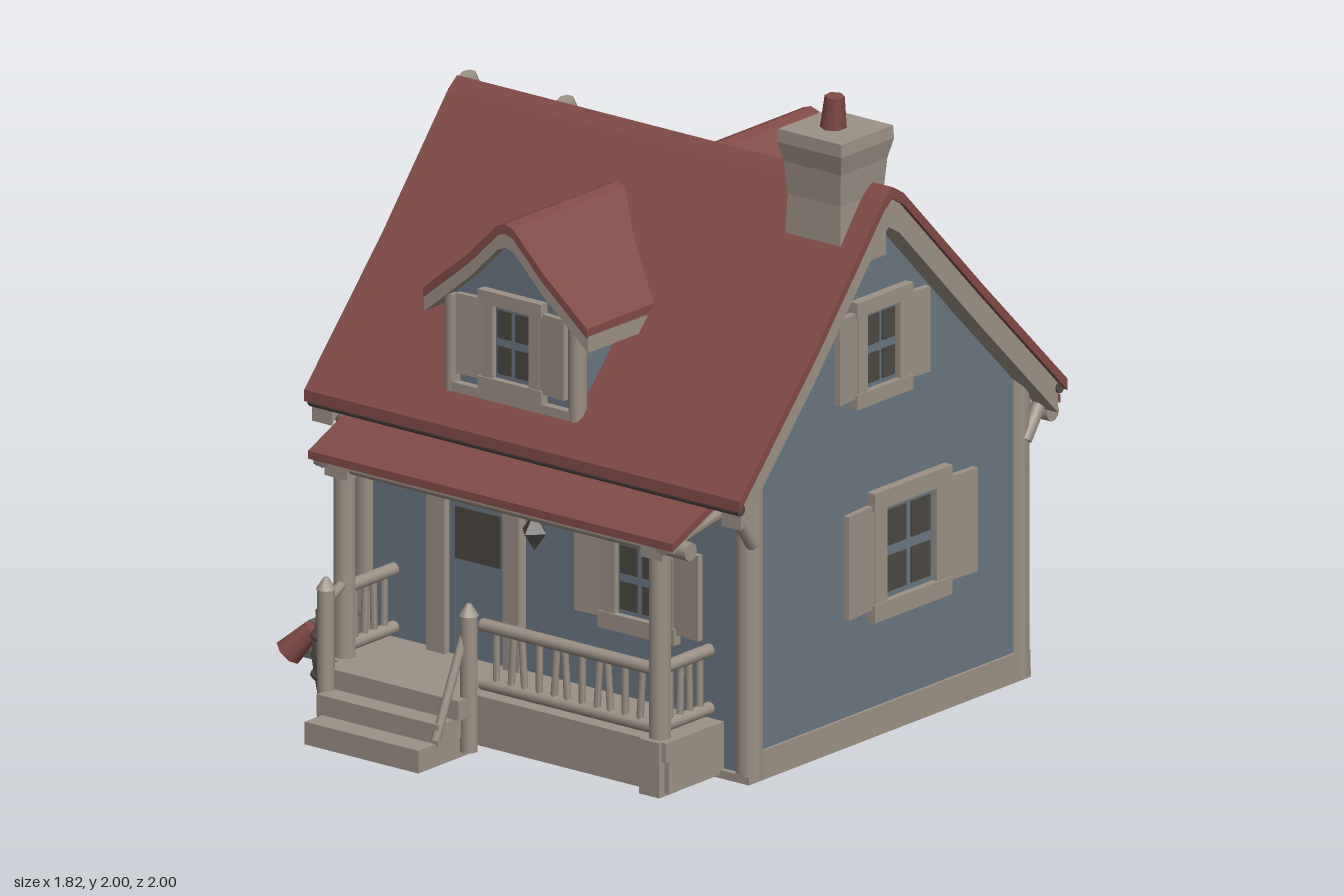
import * as THREE from 'three';

const mat = (name, color) => Object.assign(new THREE.MeshStandardMaterial({ color }), { name });

export function createModel() {
  const root = new THREE.Group();
  root.name = 'cottage';
  const red = mat('roof red', 0x814b46);
  const tan = mat('trim tan', 0x9c9185);
  const blue = mat('wall blue', 0x6a7682);
  const dark = mat('dark glass', 0x4c4742);
  const wood = mat('firewood', 0x6b635a);

  const add = (geo, m, name, parent = root) => {
    const mesh = new THREE.Mesh(geo, m);
    mesh.name = name;
    parent.add(mesh);
    return mesh;
  };
  // box given by its min and max on each axis
  const box = (x0, x1, y0, y1, z0, z1, m, name, parent) => {
    const g = new THREE.BoxGeometry(x1 - x0, y1 - y0, z1 - z0);
    g.translate((x0 + x1) / 2, (y0 + y1) / 2, (z0 + z1) / 2);
    return add(g, m, name, parent);
  };
  // round bar between two points
  const rod = (a, b, r, m, name, r2 = r, sides = 10) => {
    const p = new THREE.Vector3(...a), q = new THREE.Vector3(...b);
    const mesh = add(new THREE.CylinderGeometry(r2, r, p.distanceTo(q), sides), m, name);
    mesh.position.copy(p).add(q).multiplyScalar(0.5);
    mesh.quaternion.setFromUnitVectors(new THREE.Vector3(0, 1, 0), q.sub(p).normalize());
    return mesh;
  };
  const prism = (pts, depth) => new THREE.ExtrudeGeometry(
    new THREE.Shape(pts.map(p => new THREE.Vector2(...p))), { depth, bevelEnabled: false });
  // (z, y) outline pulled along x, and (x, y) outline pulled along z
  const alongX = (pts, x0, x1, m, name) =>
    add(prism(pts, x1 - x0).rotateY(-Math.PI / 2).translate(x1, 0, 0), m, name);
  const alongZ = (pts, z0, z1, m, name) =>
    add(prism(pts, z1 - z0).translate(0, 0, z0), m, name);
  // band of given height hanging below a top line
  const band = (pts, t) => [...pts, ...pts.map(([u, v]) => [u, v - t]).reverse()];
  const lower = (pts, t) => pts.map(([u, v]) => [u, v - t]);

  // Main roof: red covering, thin deck and thick gable boards
  const roofLine = [[0.66, 0.95], [0.3, 1.34], [-0.01, 1.71], [-0.05, 1.74], [-0.1, 1.71], [-0.46, 1.34], [-0.86, 0.94]];
  const inset = [[0.635, 0.977], ...roofLine.slice(1, -1), [-0.835, 0.965]];
  alongX(band(roofLine, 0.035), -0.74, 0.91, red, 'roofCover');
  alongX(band(lower(inset, 0.03), 0.04), -0.72, 0.89, tan, 'roofDeck');
  for (const x of [-0.73, 0.82]) alongX(band(lower(inset, 0.032), 0.095), x, x + 0.075, tan, 'gableBoard');
  for (const z of [0.64, -0.84]) rod([-0.73, 0.915, z], [0.9, 0.915, z], 0.018, dark, 'gutter');
  for (const x of [-0.72, -0.35]) rod([x, 1.7, -0.085], [x, 1.742, -0.075], 0.035, tan, 'ridgePatch', 0.025, 7);

  // Walls with gable ends, reaching into the roof
  alongX([[0.5, 0.03], [0.5, 1.06], ...lower(roofLine.slice(1, -1), 0.055), [-0.78, 0.96], [-0.78, 0.03]],
    -0.66, 0.82, blue, 'walls');
  box(-0.67, 0.83, 0.02, 0.045, -0.79, 0.52, tan, 'floorSlab');
  for (const x of [-0.645, 0.8]) {
    for (const z of [0.48, -0.755]) rod([x, 0.03, z], [x, 1.0, z], 0.042, tan, 'cornerPost');
    box(x - 0.03, x + 0.03, 0.03, 0.11, -0.78, 0.5, tan, 'sideSill');
  }
  box(-0.66, 0.82, 0.03, 0.1, -0.8, -0.74, tan, 'backSill');

  // Porch roof and matching back awning
  for (const [near, far] of [[0.5, 0.8], [-0.76, -1]]) {
    const s = Math.sign(far);
    const line = [[near, 0.955], [far, 0.825]];
    alongX(band(line, 0.025), -0.61, 0.77, red, 'awningCover');
    alongX(band(lower([[near, 0.955], [far - s * 0.015, 0.832]], 0.024), 0.02), -0.6, 0.76, tan, 'awningDeck');
    rod([-0.62, 0.79, far - s * 0.06], [0.79, 0.79, far - s * 0.06], 0.028, tan, 'awningBeam');
    for (const x of [-0.57, 0.72]) rod([x, 0.85, near], [x, 0.8, far - s * 0.01], 0.024, tan, 'awningRafter');
    for (const x of [-0.67, 0.83]) rod([x, 0.76, near], [x, 0.9, near + s * 0.1], 0.022, tan, 'eaveBrace');
  }

  // Window facing +z: frame w x h, total width over shutters, placed and turned
  const makeWindow = (x, y, z, turn, w, h, total) => {
    const g = new THREE.Group();
    g.name = 'window';
    const a = w / 2, b = h / 2, t = Math.min(0.055, w * 0.19);
    for (const s of [-1, 1]) {
      box(Math.min(s * a, s * (a - t)), Math.max(s * a, s * (a - t)), -b, b, -0.02, 0.025, tan, 'frameSide', g);
      box(-a - 0.01, a + 0.01, s * (b - t / 2) - t / 2, s * (b - t / 2) + t / 2, -0.02, 0.03, tan, 'frameBar', g);
      const sw = total / 2 - a, sh = add(new THREE.BoxGeometry(sw, h * 0.8, 0.02), tan, 'shutter', g);
      sh.position.set(s * (a + sw / 2), 0, 0.015);
      sh.rotation.y = -s * 0.08;
    }
    box(-a + t, a - t, -b + t, b - t, -0.01, 0.008, blue, 'sash', g);
    const pw = (w - 2 * t) / 2, ph = (h - 2 * t) / 2;
    for (const i of [-0.5, 0.5]) for (const j of [-0.5, 0.5]) {
      const cx = i * pw * 0.98, cy = j * ph * 0.98;
      box(cx - pw * 0.38, cx + pw * 0.38, cy - ph * 0.38, cy + ph * 0.38, 0.006, 0.013, dark, 'pane', g);
    }
    g.position.set(x, y, z);
    g.rotation.y = turn;
    root.add(g);
  };
  for (const [x, turn] of [[0.82, Math.PI / 2], [-0.66, -Math.PI / 2]]) {
    makeWindow(x, 0.58, -0.22, turn, 0.34, 0.4, 0.6);
    makeWindow(x, 1.225, -0.09, turn, 0.24, 0.33, 0.42);
  }
  makeWindow(0.41, 0.56, 0.5, 0, 0.27, 0.33, 0.47);
  for (const x of [0.42, -0.23]) makeWindow(x, 0.58, -0.78, Math.PI, 0.28, 0.36, 0.52);

  // Dormers, front and back
  const cx = -0.02;
  const dormerLine = [[cx + 0.31, 1.34], [cx + 0.14, 1.48], [cx + 0.03, 1.59], [cx, 1.6], [cx - 0.03, 1.59], [cx - 0.14, 1.48], [cx - 0.31, 1.34]];
  for (const [face, inner, tip] of [[0.56, 0.05, 0.61], [-0.75, -0.17, -0.81]]) {
    const s = Math.sign(face);
    const span = (a, b) => [Math.min(a, b), Math.max(a, b)];
    alongZ([[cx - 0.24, 1.0], [cx + 0.24, 1.0], [cx + 0.24, 1.34], [cx, 1.55], [cx - 0.24, 1.34]],
      ...span(inner + s * 0.2, face), blue, 'dormerWall');
    alongZ(band(dormerLine, 0.03), ...span(inner, tip), red, 'dormerRoofCover');
    alongZ(band(lower(dormerLine, 0.025), 0.05), ...span(inner + s * 0.1, tip - s * 0.005), tan, 'dormerRoofDeck');
    for (const d of [-0.235, 0.235]) rod([cx + d, 1.03, face], [cx + d, 1.33, face], 0.028, tan, 'dormerPost');
    box(cx - 0.24, cx + 0.24, 1.02, 1.06, ...span(face - s * 0.04, face + s * 0.025), tan, 'dormerSill');
    makeWindow(cx, 1.215, face, s > 0 ? 0 : Math.PI, 0.22, 0.31, 0.41);
  }

  // Chimney with a flared square top and a red pot
  const profile = [[0.105, 1.5], [0.105, 1.58], [0.1, 1.7], [0.108, 1.8], [0.122, 1.86], [0.12, 1.9], [0, 1.9]]
    .map(([r, y]) => new THREE.Vector2(r * Math.SQRT2, y));
  const stack = new THREE.LatheGeometry(profile, 4).rotateY(Math.PI / 4).toNonIndexed();
  stack.computeVertexNormals();
  add(stack.translate(0.73, 0, -0.005), tan, 'chimney');
  rod([0.725, 1.88, 0], [0.735, 2, 0.005], 0.042, red, 'chimneyPot', 0.03, 6);

  // Door
  box(-0.38, -0.31, 0.18, 0.73, 0.49, 0.535, tan, 'doorFrameSide');
  box(-0.09, -0.03, 0.18, 0.73, 0.49, 0.535, tan, 'doorFrameSide');
  box(-0.39, -0.02, 0.68, 0.735, 0.49, 0.54, tan, 'doorFrameTop');
  box(-0.31, -0.09, 0.18, 0.68, 0.49, 0.512, blue, 'door');
  box(-0.285, -0.115, 0.49, 0.65, 0.51, 0.518, dark, 'doorGlass');

  // Porch floor, posts and railings
  box(-0.56, 0.72, 0.03, 0.13, 0.48, 0.755, tan, 'porchBase');
  box(-0.57, 0.72, 0.13, 0.19, 0.48, 0.77, tan, 'porchFloor');
  for (const x of [-0.53, 0.665]) {
    rod([x, 0.02, 0.73], [x, 0.8, 0.73], 0.034, tan, 'porchPost');
    box(x - 0.038, x + 0.038, 0.02, 0.19, 0.69, 0.78, tan, 'postFoot');
    box(x - 0.042, x + 0.042, 0.75, 0.79, 0.69, 0.77, tan, 'postCap');
  }
  const railing = (a, b, n) => {
    const at = (t, y) => [a[0] + (b[0] - a[0]) * t, y, a[1] + (b[1] - a[1]) * t];
    for (const y of [0.22, 0.4]) rod(at(0, y), at(1, y), 0.02, tan, 'rail');
    for (let i = 1; i <= n; i++) {
      const t = i / (n + 1);
      rod(at(t, 0.21), at(t + (i % 3 - 1) * 0.02, 0.4), 0.011, tan, 'baluster', 0.011, 6);
    }
  };
  railing([0, 0.74], [0.65, 0.74], 11);
  railing([0.665, 0.5], [0.665, 0.73], 4);
  railing([-0.53, 0.5], [-0.53, 0.73], 4);

  // Steps with newel posts and handrails
  box(-0.46, -0.03, 0, 0.07, 0.74, 1, tan, 'step');
  box(-0.48, -0.02, 0.065, 0.13, 0.74, 0.92, tan, 'step');
  box(-0.51, 0, 0.13, 0.19, 0.74, 0.85, tan, 'step');
  for (const [x, z] of [[-0.49, 0.865], [-0.01, 0.79]]) {
    rod([x, 0.02, z], [x, 0.44, z], 0.027, tan, 'newelPost');
    rod([x, 0.44, z], [x, 0.475, z], 0.03, tan, 'newelCap', 0.008);
  }
  rod([-0.49, 0.4, 0.86], [-0.53, 0.42, 0.73], 0.015, tan, 'handrail');
  rod([-0.02, 0.4, 0.79], [-0.03, 0.08, 0.92], 0.014, tan, 'handrail');

  // Hanging lantern
  rod([0.075, 0.7, 0.59], [0.075, 0.83, 0.59], 0.006, dark, 'lanternHook', 0.006, 6);
  const lantern = add(new THREE.OctahedronGeometry(0.045), dark, 'lantern');
  lantern.position.set(0.075, 0.665, 0.59);
  lantern.scale.y = 1.3;

  // Firewood stacked against the side wall, every third log weathered pale
  for (let row = 0; row < 4; row++) {
    for (let i = 0; i < 5 - row; i++) {
      const x = -0.69 - i * 0.047 - row * 0.012, y = 0.1 + row * 0.05;
      const shift = ((i * 3 + row * 2) % 4) * 0.008;
      rod([x, y, 0.165 + shift], [x, y, 0.48 + shift], 0.028, (i + row) % 3 ? wood : tan, 'log', 0.025, 7);
    }
  }
  box(-0.9, -0.66, 0.05, 0.075, 0.18, 0.49, wood, 'logRack');

  // Barrel and a small red bucket
  const barrel = [[0, 0.03], [0.065, 0.03], [0.082, 0.14], [0.068, 0.26], [0, 0.26]].map(p => new THREE.Vector2(...p));
  add(new THREE.LatheGeometry(barrel, 14).translate(-0.645, 0, 0.615), wood, 'barrel');
  for (const y of [0.08, 0.2]) {
    add(new THREE.TorusGeometry(0.077, 0.008, 6, 16).rotateX(Math.PI / 2).translate(-0.645, y, 0.615), dark, 'barrelHoop');
  }
  rod([-0.85, 0.1, 0.6], [-0.78, 0.18, 0.57], 0.045, red, 'bucket', 0.03, 7);
  return root;
}
